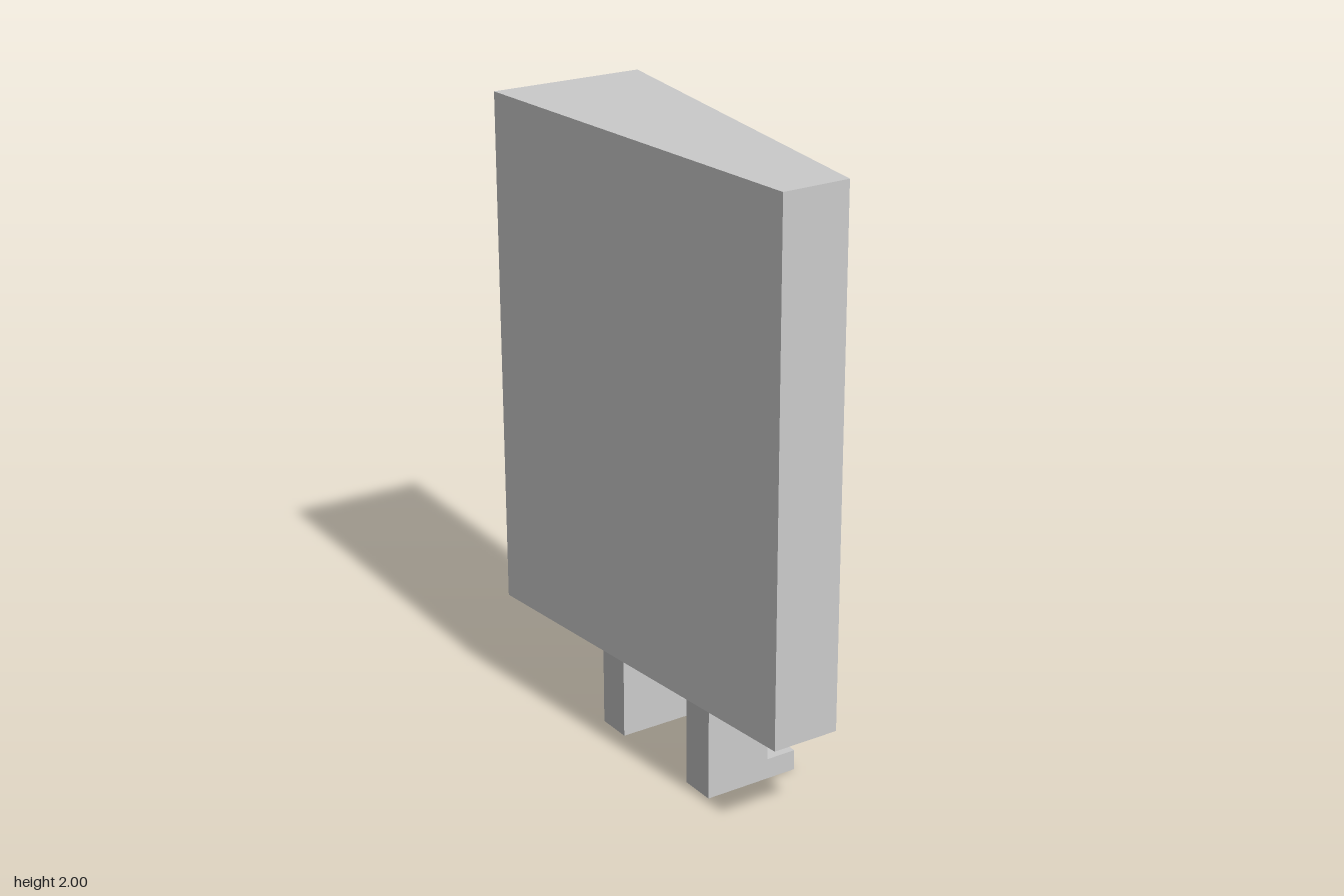
import * as THREE from 'three';

const material = new THREE.MeshStandardMaterial({ color: 0xcccccc, flatShading: true });

// Extrude an outline of [x, y] corners along +z
function prism(corners, depth) {
  const shape = new THREE.Shape(corners.map(([x, y]) => new THREE.Vector2(x, y)));
  return new THREE.ExtrudeGeometry(shape, { depth, bevelEnabled: false });
}

export function createModel() {
  const group = new THREE.Group();

  // Tapered upright body, outline given as [x, -z] and raised along y
  const bodyGeometry = prism([[-0.14, -0.66], [0.08, -0.66], [0.25, 0.645], [-0.25, 0.662]], 1.67);
  bodyGeometry.rotateX(-Math.PI / 2);
  const body = new THREE.Mesh(bodyGeometry, material);
  body.name = 'body';
  body.position.y = 0.33;
  group.add(body);

  // Two L-shaped legs with toes pointing to +x
  const legGeometry = prism(
    [[-0.127, 0], [0.193, 0], [0.193, 0.067], [0.092, 0.067], [0.092, 0.33], [-0.127, 0.33]], 0.118);
  for (const [name, z] of [['frontLeg', 0.188], ['backLeg', -0.284]]) {
    const leg = new THREE.Mesh(legGeometry, material);
    leg.name = name;
    leg.position.z = z;
    group.add(leg);
  }

  return group;
}
